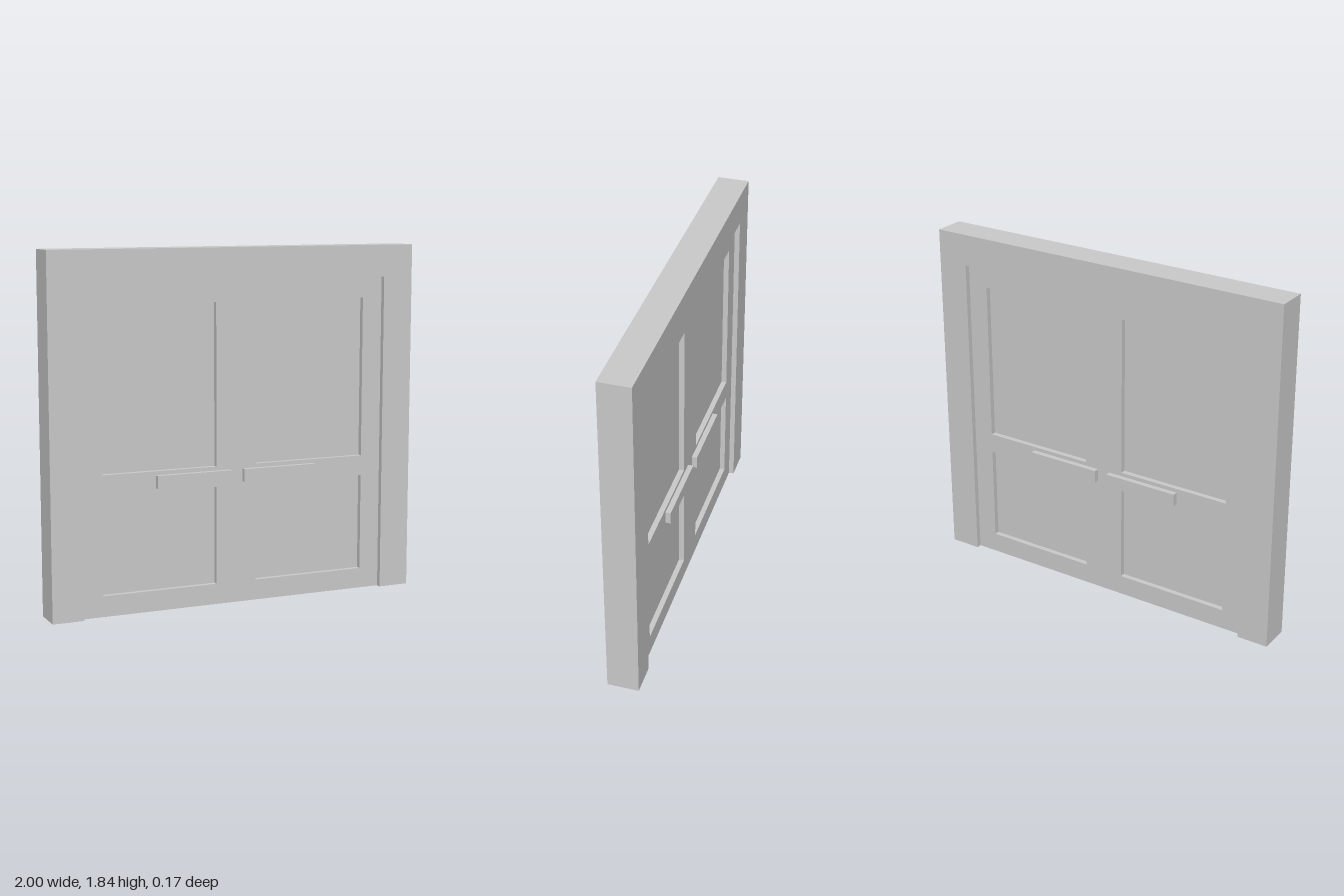
import * as THREE from 'three';

const W = 1, H = 1.835;             // frame half width and height
const OW = 0.835, OH = 1.67;        // opening half width and height
const STEP = 0.0275;                // depth of each step: panel, door, frame
const PANEL_X = [0.11, 0.725];
const PANEL_ROWS = [[0.107, 0.616], [0.722, 1.562]];

const material = new THREE.MeshStandardMaterial({ color: 0xcccccc });
const shellMaterial = new THREE.MeshStandardMaterial({ color: 0xcccccc, side: THREE.DoubleSide });

const polygon = (points, Type = THREE.Shape) =>
  new Type(points.map(([x, y]) => new THREE.Vector2(x, y)));

const rectangle = (x0, x1, y0, y1, Type) =>
  polygon([[x0, y0], [x1, y0], [x1, y1], [x0, y1]], Type);

// Extrude a shape symmetrically about z = 0
function slab(shape, halfDepth) {
  const geometry = new THREE.ExtrudeGeometry(shape, { depth: halfDepth * 2, bevelEnabled: false });
  return geometry.translate(0, 0, -halfDepth);
}

// Drop the triangles lying on the ground, leaving the feet open
function openBottom(geometry) {
  const pos = geometry.attributes.position;
  const index = [];
  for (let i = 0; i < pos.count; i += 3) {
    const grounded = [0, 1, 2].every(k => Math.abs(pos.getY(i + k)) < 1e-6);
    if (!grounded) index.push(i, i + 1, i + 2);
  }
  geometry.setIndex(index);
  return geometry;
}

function box(x0, x1, y0, y1, z0, z1) {
  return new THREE.BoxGeometry(x1 - x0, y1 - y0, z1 - z0)
    .translate((x0 + x1) / 2, (y0 + y1) / 2, (z0 + z1) / 2);
}

export function createModel() {
  const model = new THREE.Group();
  model.name = 'doubleDoor';
  const add = (name, geometry, mat = material) => {
    const mesh = new THREE.Mesh(geometry, mat);
    mesh.name = name;
    model.add(mesh);
  };

  // Surround: two jambs and a header, hollow underneath
  const frame = polygon([[-W, 0], [-OW, 0], [-OW, OH], [OW, OH], [OW, 0], [W, 0], [W, H], [-W, H]]);
  add('frame', openBottom(slab(frame, STEP * 3)), shellMaterial);

  // Door body with four panel openings
  const door = rectangle(-OW, OW, 0, OH);
  const [px0, px1] = PANEL_X;
  for (const side of [-1, 1]) {
    const [x0, x1] = side > 0 ? [px0, px1] : [-px1, -px0];
    const label = side > 0 ? 'left' : 'right';
    PANEL_ROWS.forEach(([y0, y1], row) => {
      door.holes.push(rectangle(x0, x1, y0, y1, THREE.Path));
      // Recessed panel
      add(label + (row ? 'Upper' : 'Lower') + 'Panel', box(x0, x1, y0, y1, -STEP, STEP));
    });

    // Handle bars on both faces, flush with the frame
    const [h0, h1] = side > 0 ? [0.035, 0.441] : [-0.441, -0.035];
    add(label + 'FrontHandle', box(h0, h1, 0.636, 0.702, STEP * 2, STEP * 3));
    add(label + 'BackHandle', box(h0, h1, 0.636, 0.702, -STEP * 3, -STEP * 2));
  }
  add('door', slab(door, STEP * 2));

  return model;
}
